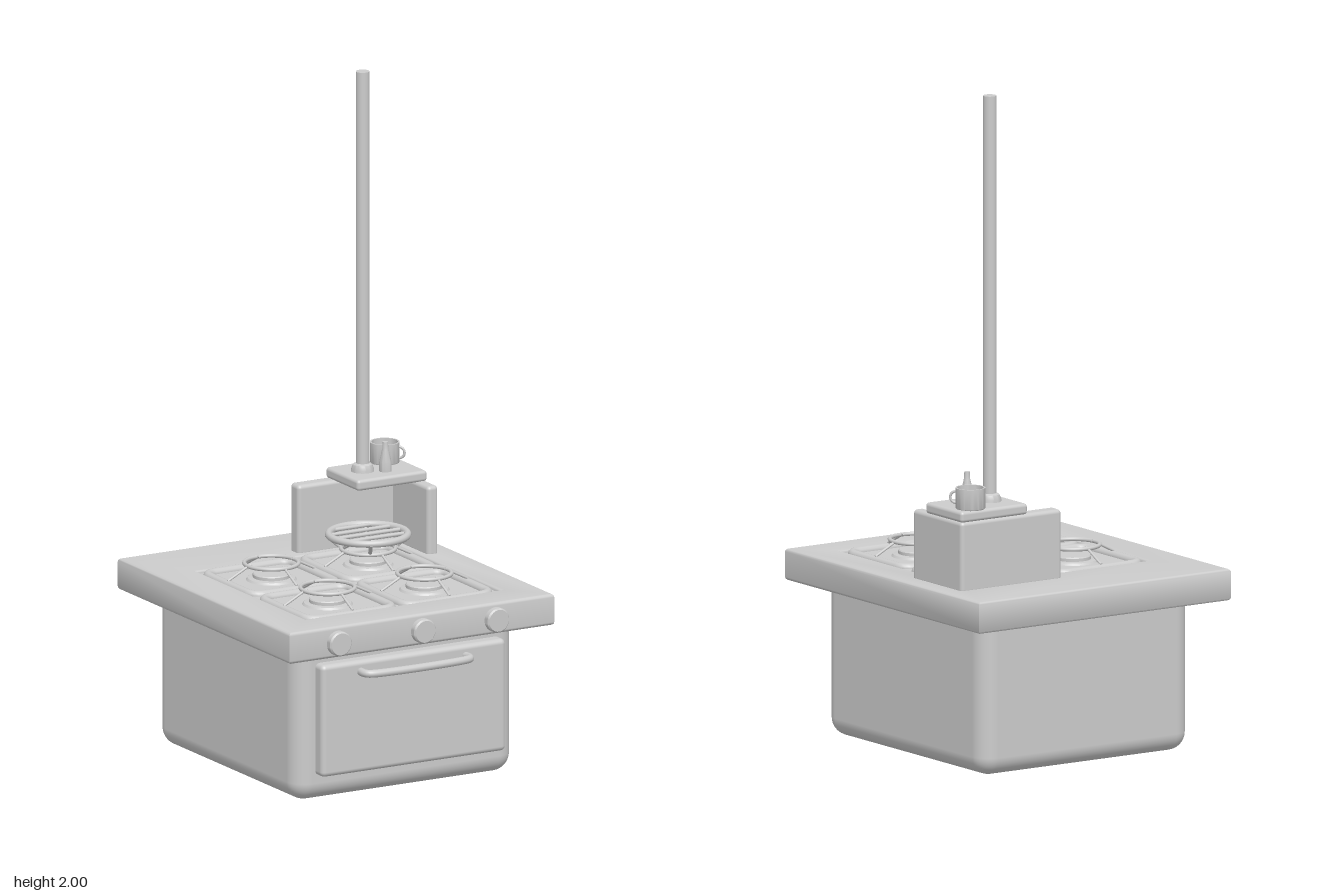
import * as THREE from 'three';
import { toCreasedNormals } from 'three/addons/utils/BufferGeometryUtils.js';
import { RoundedBoxGeometry } from 'three/addons/geometries/RoundedBoxGeometry.js';

const material = new THREE.MeshStandardMaterial({ color: 0xcccccc });
const thin = new THREE.MeshStandardMaterial({ color: 0xcccccc, side: THREE.DoubleSide });
const V = (x, y, z) => new THREE.Vector3(x, y, z);

function add(parent, name, geometry, x = 0, y = 0, z = 0, mat = material) {
  const mesh = new THREE.Mesh(geometry, mat);
  mesh.name = name;
  mesh.position.set(x, y, z);
  parent.add(mesh);
  return mesh;
}

// Rounded box given by its limits on each axis
function block(parent, name, [x0, x1], [y0, y1], [z0, z1], r) {
  const g = new RoundedBoxGeometry(x1 - x0, y1 - y0, z1 - z0, 5, r);
  return add(parent, name, g, (x0 + x1) / 2, (y0 + y1) / 2, (z0 + z1) / 2);
}

// Straight round rod between two points
function rod(parent, name, a, b, r, r2 = r) {
  const dir = b.clone().sub(a);
  const mid = a.clone().add(b).multiplyScalar(0.5);
  const mesh = add(parent, name, new THREE.CylinderGeometry(r2, r, dir.length(), 12), mid.x, mid.y, mid.z);
  mesh.quaternion.setFromUnitVectors(V(0, 1, 0), dir.normalize());
  return mesh;
}

function flatRing(parent, name, radius, tube, x, y, z) {
  return add(parent, name, new THREE.TorusGeometry(radius, tube, 12, 48).rotateX(Math.PI / 2), x, y, z);
}

function lathe(parent, name, profile, x, y, z, mat) {
  const g = new THREE.LatheGeometry(profile.map(p => new THREE.Vector2(...p)), 32);
  return add(parent, name, toCreasedNormals(g, 0.6), x, y, z, mat);
}

function rectangle(x0, x1, y0, y1, Type = THREE.Shape) {
  return new Type([[x0, y0], [x1, y0], [x1, y1], [x0, y1]].map(p => new THREE.Vector2(...p)));
}

// Rounded square rim lying flat
function rimGeometry(half, corner, tube) {
  const pts = [];
  for (let q = 0; q < 4; q++) {
    const mid = q * Math.PI / 2 + Math.PI / 4;
    const cx = Math.sign(Math.cos(mid)) * (half - corner);
    const cz = Math.sign(Math.sin(mid)) * (half - corner);
    for (let i = 0; i <= 6; i++) {
      const a = q * Math.PI / 2 + i * Math.PI / 12;
      pts.push(V(cx + corner * Math.cos(a), 0, cz + corner * Math.sin(a)));
    }
  }
  const curve = new THREE.CatmullRomCurve3(pts, true, 'centripetal');
  return new THREE.TubeGeometry(curve, 120, tube, 12, true);
}

function burner(x, z) {
  const g = new THREE.Group();
  g.name = 'burner';
  g.position.set(x, 0.54, z);
  add(g, 'panRim', rimGeometry(0.145, 0.036, 0.015));
  lathe(g, 'burnerHead', [[0.075, 0], [0.07, 0.006], [0.055, 0.008], [0.055, 0.017], [0.052, 0.02], [0, 0.02]], 0, 0, 0);
  flatRing(g, 'grateRing', 0.08, 0.006, 0, 0.05, 0);
  for (let i = 0; i < 4; i++) {
    const a = i * Math.PI / 2, c = Math.cos(a), s = Math.sin(a);
    rod(g, 'grateLeg', V(0.07 * c, 0.054, 0.07 * s), V(0.148 * c, 0.014, 0.148 * s), 0.004);
  }
  return g;
}

export function createModel() {
  const stove = new THREE.Group();
  stove.name = 'stove';

  // Oven body, door and handle
  block(stove, 'ovenBody', [-0.375, 0.372], [0, 0.53], [-0.418, 0.4], 0.055);
  block(stove, 'ovenDoor', [-0.31, 0.317], [0.08, 0.42], [0.36, 0.44], 0.015);
  const handlePath = new THREE.CatmullRomCurve3([
    V(-0.178, 0.387, 0.43), V(-0.178, 0.387, 0.465), V(-0.165, 0.387, 0.478),
    V(0.165, 0.387, 0.478), V(0.178, 0.387, 0.465), V(0.178, 0.387, 0.43)], false, 'centripetal');
  add(stove, 'doorHandle', new THREE.TubeGeometry(handlePath, 80, 0.012, 12));

  // Top slab with a shallow recessed panel
  const bevel = 0.01;
  const outline = rectangle(-0.45 + bevel, 0.45 - bevel, -0.49 + bevel, 0.51 - bevel);
  outline.holes.push(rectangle(-0.332, 0.345, -0.378, 0.275, THREE.Path));
  const slab = new THREE.ExtrudeGeometry(outline, {
    depth: 0.095 - 2 * bevel, bevelSize: bevel, bevelThickness: bevel, bevelSegments: 4 });
  slab.rotateX(-Math.PI / 2);
  add(stove, 'topSlab', toCreasedNormals(slab, 0.6), 0, 0.455 + bevel, 0);
  add(stove, 'hobPanel', new THREE.BoxGeometry(0.677, 0.08, 0.653), 0.0065, 0.5, 0.0515);

  // Control knobs
  for (const x of [-0.286, 0, 0.25]) {
    const knob = lathe(stove, 'knob', [[0.037, 0], [0.037, 0.022], [0.033, 0.027], [0, 0.027]], x, 0.5, 0.485);
    knob.rotation.x = Math.PI / 2;
  }

  // Four burners
  for (const x of [-0.163, 0.166]) for (const z of [-0.107, 0.22]) stove.add(burner(x, z));

  // Round toasting rack on the back left burner
  const rack = new THREE.Group();
  rack.name = 'toastRack';
  rack.position.set(0.166, 0.633, -0.107);
  stove.add(rack);
  flatRing(rack, 'rackRing', 0.116, 0.011, 0, 0, 0);
  for (let i = -2; i <= 2; i++) {
    const z = i * 0.046, half = Math.sqrt(0.116 ** 2 - z * z);
    rod(rack, 'rackBar', V(-half, 0, z), V(half, 0, z), 0.006);
  }
  for (let i = 0; i < 4; i++) {
    const a = 0.46 + i * Math.PI / 2, c = Math.cos(a), s = Math.sin(a);
    rod(rack, 'rackFoot', V(0.124 * c, 0, 0.124 * s), V(0.085 * c, -0.035, 0.085 * s), 0.006);
  }

  // Corner screen and shelf
  block(stove, 'backWall', [0.034, 0.393], [0.54, 0.755], [-0.337, -0.288], 0.012);
  block(stove, 'sideWall', [0.356, 0.393], [0.54, 0.755], [-0.337, -0.085], 0.012);
  block(stove, 'shelf', [0.155, 0.393], [0.753, 0.786], [-0.337, -0.149], 0.01);

  // Chimney pipe with collar
  lathe(stove, 'pipeCollar', [[0.034, 0], [0.034, 0.008], [0.028, 0.022], [0.02, 0.026]], 0.226, 0.785, -0.242);
  add(stove, 'chimneyPipe', new THREE.CylinderGeometry(0.02, 0.02, 1.22, 32), 0.226, 1.39, -0.242);

  // Slim tapered bottle
  lathe(stove, 'bottle', [[0.018, 0], [0.018, 0.03], [0.009, 0.07], [0.008, 0.09], [0, 0.09]], 0.283, 0.785, -0.207);

  // Open mug with a looped handle
  const mug = new THREE.Group();
  mug.name = 'mug';
  mug.position.set(0.334, 0.785, -0.298);
  mug.rotation.y = -Math.PI / 4;
  stove.add(mug);
  lathe(mug, 'mugCup', [[0, 0], [0.042, 0], [0.044, 0.003], [0.044, 0.063], [0.039, 0.063], [0.039, 0.006], [0, 0.006]], 0, 0, 0, thin);
  const loop = new THREE.TorusGeometry(0.017, 0.004, 8, 20, Math.PI).rotateZ(-Math.PI / 2);
  add(mug, 'mugHandle', loop, 0.043, 0.033, 0);

  return stove;
}
